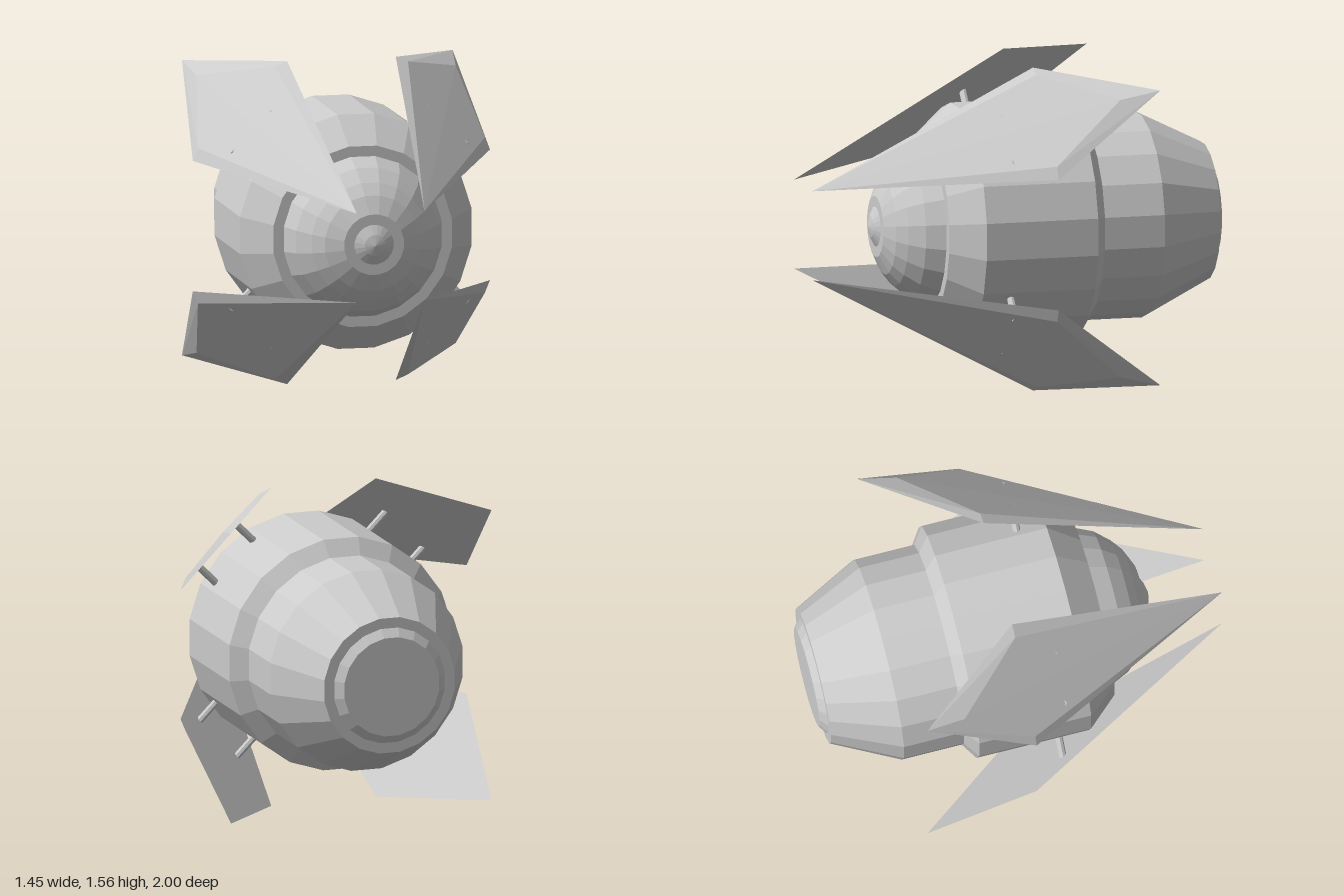
import * as THREE from 'three';
import { ConvexGeometry } from 'three/addons/geometries/ConvexGeometry.js';

const SIDES = 20;
const AXIS_Y = 0.785;

export function createModel() {
  const model = new THREE.Group();
  model.name = 'spacecraft';
  const material = new THREE.MeshStandardMaterial({ color: 0xcccccc, flatShading: true });

  const add = (name, geometry, parent) => {
    const mesh = new THREE.Mesh(geometry, material);
    mesh.name = name;
    parent.add(mesh);
    return mesh;
  };

  // Faceted hull sections turned about the z axis; profiles are [z, radius], back to front
  const hull = new THREE.Group();
  hull.name = 'hull';
  hull.position.y = AXIS_Y;
  model.add(hull);
  const half = Math.PI / SIDES;
  const turn = (name, profile) => {
    const points = profile.map(([z, r]) => new THREE.Vector2(r / Math.cos(half), z));
    const geometry = new THREE.LatheGeometry(points, SIDES, half);
    geometry.rotateX(Math.PI / 2);
    add(name, geometry, hull);
  };
  turn('tailCap', [[-1, 0], [-1, 0.24], [-0.968, 0.28]]);
  turn('rearHull', [[-0.968, 0.28], [-0.968, 0.33], [-0.65, 0.487], [-0.355, 0.487]]);
  turn('collar', [[-0.355, 0.487], [-0.3, 0.565]]);
  turn('mainHull', [[-0.3, 0.565], [0.25, 0.565]]);
  turn('frontShoulder', [[0.25, 0.565], [0.4, 0.435], [0.4, 0.385]]);
  turn('noseDome', [[0.4, 0.385], [0.49, 0.345], [0.56, 0.285], [0.605, 0.23], [0.645, 0.145], [0.645, 0.095]]);
  turn('noseTip', [[0.645, 0.095], [0.668, 0.05], [0.68, 0]]);

  // One fin: kite-shaped inner face, tip first, and a smaller bevelled outer face
  const finPoints = [
    [0.165, 0.215, 1], [0.265, 0.78, -0.06], [0.66, 0.712, -0.58], [0.725, 0.315, -0.06],
    [0.325, 0.755, -0.06], [0.632, 0.67, -0.39], [0.7, 0.375, -0.06],
  ];
  // Struts run diagonally outward from the hull to the fin
  const struts = [
    [[0.44, 0.25], [0.575, 0.385]],
    [[0.25, 0.44], [0.385, 0.575]],
  ];

  // Four fins, mirrored about the hull axis
  for (const sx of [1, -1]) {
    for (const sy of [1, -1]) {
      const wing = new THREE.Group();
      wing.name = (sy > 0 ? 'upper' : 'lower') + (sx > 0 ? 'Left' : 'Right') + 'Fin';
      wing.position.y = AXIS_Y;
      model.add(wing);
      const place = ([x, y, z]) => new THREE.Vector3(sx * x, sy * y, z);
      add('finPlate', new ConvexGeometry(finPoints.map(place)), wing);
      for (const [a, b] of struts) {
        const from = place([...a, 0.11]);
        const to = place([...b, 0.11]);
        const rod = add('strut', new THREE.CylinderGeometry(0.018, 0.018, from.distanceTo(to), 8), wing);
        rod.position.copy(from).lerp(to, 0.5);
        rod.quaternion.setFromUnitVectors(new THREE.Vector3(0, 1, 0), to.sub(from).normalize());
      }
    }
  }
  return model;
}
